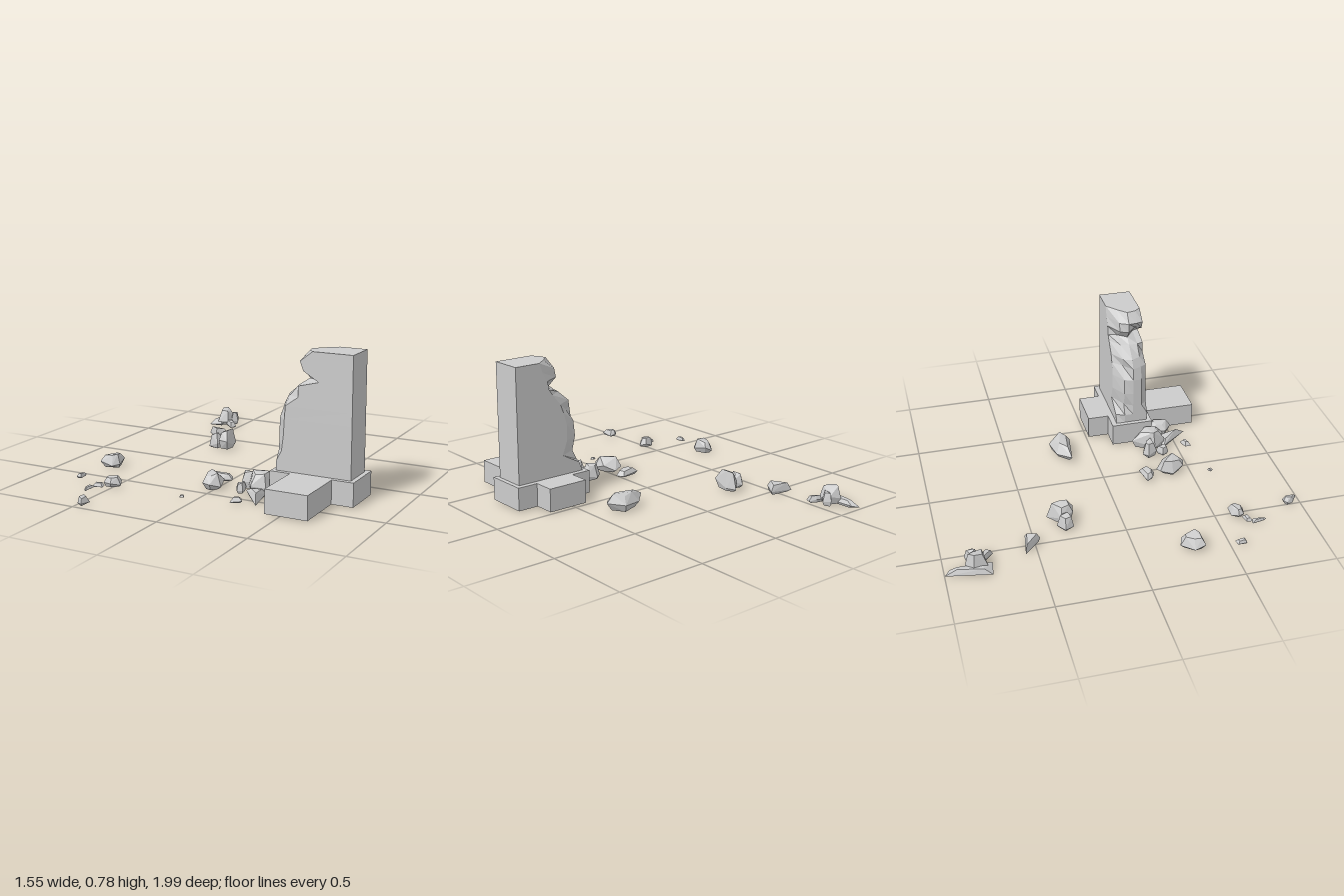
import * as THREE from 'three';
import { ConvexGeometry } from 'three/addons/geometries/ConvexGeometry.js';

const material = new THREE.MeshStandardMaterial({ color: 0xcccccc, flatShading: true });

function add(parent, name, geometry) {
  const mesh = new THREE.Mesh(geometry, material);
  mesh.name = name;
  parent.add(mesh);
}

// Cross-shaped plinth, extruded downwards from its top
function plinth() {
  const [x0, x1, x2, x3] = [0.305, 0.42, 0.655, 0.775];
  const [z0, z1, z2, z3] = [0.015, 0.135, 0.375, 0.665];
  const outline = [[x1, z0], [x2, z0], [x2, z1], [x3, z1], [x3, z2], [x2, z2],
    [x2, z3], [x1, z3], [x1, z2], [x0, z2], [x0, z1], [x1, z1]];
  const shape = new THREE.Shape(outline.map(([x, z]) => new THREE.Vector2(x, z)));
  return new THREE.ExtrudeGeometry(shape, { depth: 0.13, bevelEnabled: false })
    .rotateX(Math.PI / 2).translate(0, 0.14, 0);
}

// Pillar with a broken left side: x of the break at each height, from front to back
function brokenPillar() {
  const right = 0.75;
  const heights = [0.14, 0.19, 0.25, 0.33, 0.42, 0.49, 0.54, 0.6, 0.63, 0.68, 0.73, 0.785];
  const slices = [
    [0.35, [0.33, 0.33, 0.36, 0.37, 0.375, 0.38, 0.45, 0.45, 0.565, 0.48, 0.46, 0.53]],
    [0.315, [0.33, 0.33, 0.33, 0.33, 0.335, 0.36, 0.39, 0.44, 0.55, 0.5, 0.45, 0.5]],
    [0.265, [0.33, 0.33, 0.33, 0.33, 0.33, 0.34, 0.365, 0.44, 0.48, 0.44, 0.445, 0.49]],
    [0.215, [0.33, 0.33, 0.36, 0.34, 0.35, 0.4, 0.38, 0.45, 0.52, 0.46, 0.47, 0.54]],
    [0.165, [0.33, 0.35, 0.46, 0.43, 0.43, 0.45, 0.47, 0.52, 0.54, 0.55, 0.58, 0.6]],
  ];
  const top = heights.length - 1, back = slices.length - 1;
  const L = (i, j) => [slices[i][1][j], heights[j], slices[i][0]];
  const R = (i, j) => [right, heights[j], slices[i][0]];
  const positions = [];
  const quad = (a, b, c, d) => positions.push(...a, ...b, ...c, ...a, ...c, ...d);

  for (let j = 0; j < top; j++) {
    quad(L(0, j), R(0, j), R(0, j + 1), L(0, j + 1));
    quad(R(back, j), L(back, j), L(back, j + 1), R(back, j + 1));
    for (let i = 0; i < back; i++) quad(L(i, j), L(i, j + 1), L(i + 1, j + 1), L(i + 1, j));
  }
  for (let i = 0; i < back; i++) {
    quad(L(i, top), R(i, top), R(i + 1, top), L(i + 1, top));
    quad(R(i, 0), L(i, 0), L(i + 1, 0), R(i + 1, 0));
  }
  quad(R(0, 0), R(back, 0), R(back, top), R(0, top));

  const geometry = new THREE.BufferGeometry();
  geometry.setAttribute('position', new THREE.Float32BufferAttribute(positions, 3));
  geometry.computeVertexNormals();
  return geometry;
}

// Faceted stone: convex hull over a footprint, drawn in at the ground and the top
let seed = 7;
const random = () => (seed = (seed * 16807) % 2147483647) / 2147483647;

function stone(height, footprint) {
  const cx = footprint.reduce((s, p) => s + p[0], 0) / footprint.length;
  const cz = footprint.reduce((s, p) => s + p[1], 0) / footprint.length;
  const points = [];
  footprint.forEach(([x, z]) => {
    const ring = (scale, y) => points.push(
      new THREE.Vector3(cx + (x - cx) * scale, y, cz + (z - cz) * scale));
    ring(0.65 + 0.2 * random(), 0.005 + 0.08 * height * random());
    ring(1, height * (0.2 + 0.35 * random()));
    ring(0.45 + 0.25 * random(), height * (0.8 + 0.2 * random()));
  });
  return new ConvexGeometry(points);
}

// Height and footprint (x, z) of every fallen stone
const behind = [
  [0.045, [[-0.65, -1], [-0.615, -0.97], [-0.605, -0.745], [-0.69, -0.755]]],
  [0.11, [[-0.655, -0.85], [-0.62, -0.89], [-0.56, -0.86], [-0.57, -0.78], [-0.64, -0.77]]],
  [0.09, [[-0.59, -0.85], [-0.55, -0.885], [-0.53, -0.84], [-0.56, -0.81]]],
  [0.05, [[-0.6, -0.8], [-0.54, -0.79], [-0.505, -0.765], [-0.525, -0.73]]],
  [0.07, [[-0.58, -0.565], [-0.44, -0.545], [-0.485, -0.47]]],
  [0.1, [[-0.44, -0.32], [-0.4, -0.36], [-0.36, -0.33], [-0.37, -0.28], [-0.42, -0.27]]],
  [0.125, [[-0.38, -0.33], [-0.31, -0.4], [-0.29, -0.34], [-0.29, -0.25], [-0.35, -0.26]]],
  [0.105, [[0.165, -0.145], [0.24, -0.22], [0.35, -0.245], [0.425, -0.175], [0.375, -0.115], [0.325, -0.125]]],
];
const beside = [
  [0.05, [[-0.12, 0.23], [0, 0.21], [0.02, 0.255], [-0.04, 0.29], [-0.09, 0.27]]],
  [0.095, [[-0.07, 0.32], [-0.02, 0.31], [0.03, 0.36], [0.045, 0.43], [0, 0.475], [-0.05, 0.46], [-0.09, 0.39]]],
  [0.11, [[0.105, 0.3], [0.14, 0.275], [0.2, 0.3], [0.2, 0.34], [0.13, 0.355]]],
  [0.06, [[0.115, 0.39], [0.16, 0.36], [0.17, 0.42], [0.14, 0.43]]],
  [0.13, [[0.24, 0.235], [0.3, 0.31], [0.295, 0.4], [0.22, 0.43], [0.175, 0.36]]],
  [0.06, [[0.19, 0.42], [0.29, 0.38], [0.33, 0.585]]],
  [0.07, [[0.29, 0.4], [0.33, 0.37], [0.36, 0.41], [0.33, 0.45]]],
  [0.085, [[0.34, 0.4], [0.38, 0.37], [0.42, 0.4], [0.41, 0.46], [0.38, 0.515], [0.33, 0.47]]],
  [0.04, [[0.18, 0.55], [0.22, 0.53], [0.24, 0.56], [0.18, 0.585]]],
  [0.02, [[-0.1, 0.61], [-0.08, 0.6], [-0.07, 0.62], [-0.09, 0.63]]],
];
const scattered = [
  [0.09, [[-0.775, 0.3], [-0.72, 0.235], [-0.68, 0.25], [-0.66, 0.33], [-0.69, 0.365], [-0.77, 0.36]]],
  [0.03, [[-0.77, 0.54], [-0.745, 0.53], [-0.74, 0.59], [-0.77, 0.59]]],
  [0.065, [[-0.56, 0.62], [-0.53, 0.585], [-0.48, 0.58], [-0.46, 0.62], [-0.5, 0.66], [-0.55, 0.65]]],
  [0.03, [[-0.6, 0.65], [-0.55, 0.64], [-0.545, 0.67], [-0.6, 0.685]]],
  [0.025, [[-0.615, 0.68], [-0.585, 0.68], [-0.59, 0.765], [-0.605, 0.75]]],
  [0.05, [[-0.51, 0.92], [-0.49, 0.905], [-0.455, 0.91], [-0.455, 0.99], [-0.5, 0.955]]],
];

export function createModel() {
  seed = 7;
  const model = new THREE.Group();
  model.name = 'brokenPillarRuin';
  add(model, 'plinth', plinth());
  add(model, 'brokenPillar', brokenPillar());
  Object.entries({ behind, beside, scattered }).forEach(([place, stones]) => {
    const group = new THREE.Group();
    group.name = `${place}Rubble`;
    stones.forEach(([height, footprint], i) => add(group, `stone${i + 1}`, stone(height, footprint)));
    model.add(group);
  });
  return model;
}
